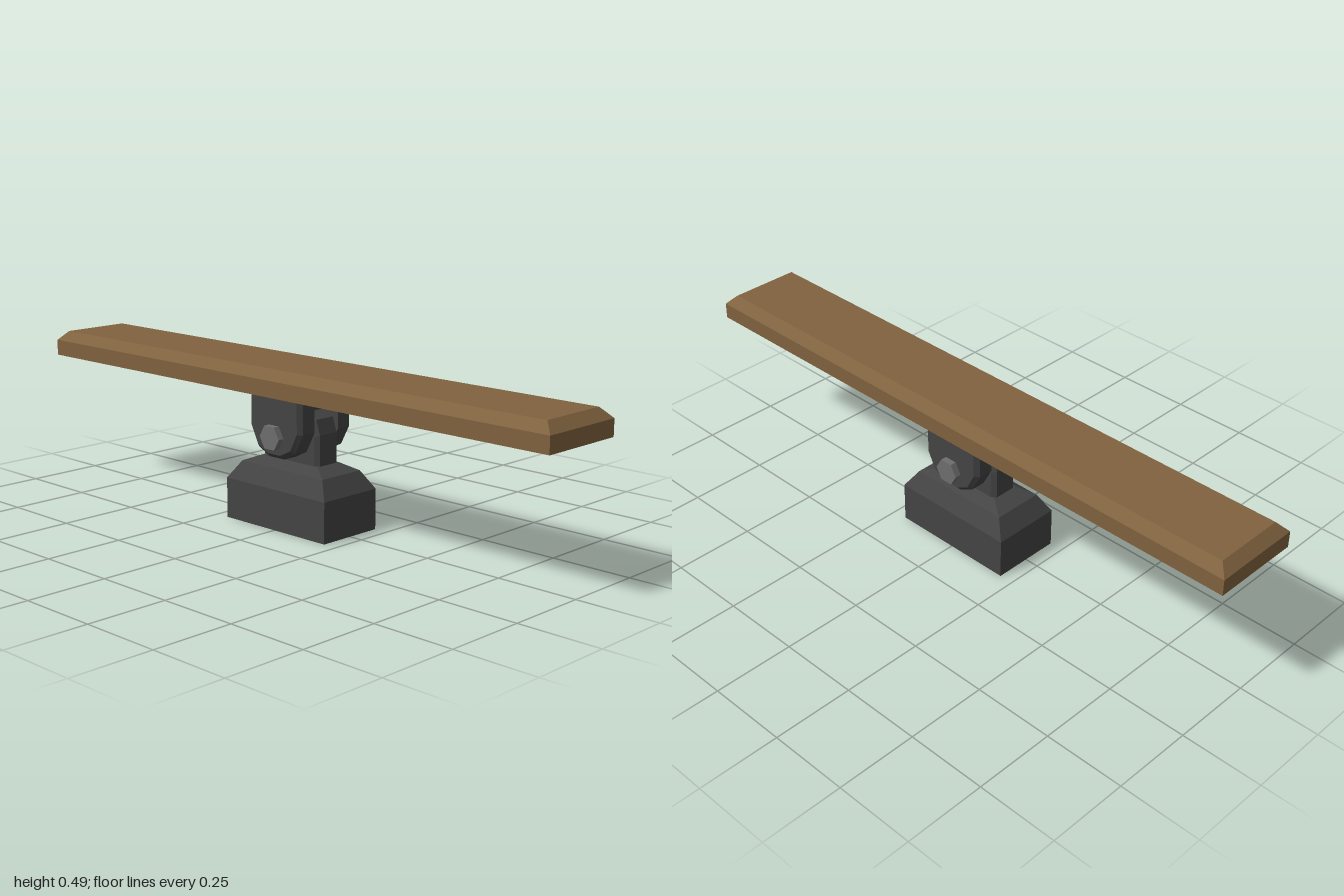
import * as THREE from 'three';

const wood = new THREE.MeshStandardMaterial({ color: 0x80623e, flatShading: true });
const iron = new THREE.MeshStandardMaterial({ color: 0x444444, flatShading: true });
const steel = new THREE.MeshStandardMaterial({ color: 0x6e6e6e, flatShading: true });

// Closed solid through convex rings, each counter-clockwise as seen from the last one
function loft(rings) {
  const n = rings[0].length, pos = [];
  const tri = (...pts) => pts.forEach((p) => pos.push(...p));
  for (let i = 0; i < rings.length - 1; i++) {
    const a = rings[i], b = rings[i + 1];
    for (let j = 0; j < n; j++) {
      const k = (j + 1) % n;
      tri(a[j], a[k], b[k]);
      tri(a[j], b[k], b[j]);
    }
  }
  const first = rings[0], last = rings[rings.length - 1];
  for (let j = 1; j < n - 1; j++) {
    tri(first[0], first[j + 1], first[j]);
    tri(last[0], last[j], last[j + 1]);
  }
  const geo = new THREE.BufferGeometry();
  geo.setAttribute('position', new THREE.Float32BufferAttribute(pos, 3));
  geo.computeVertexNormals();
  return geo;
}

// Horizontal rectangle at height y
const rect = (x, z, y) => [[x, y, z], [x, y, -z], [-x, y, -z], [-x, y, z]];

// Upright plate section at x, mirrored from half a [z, y] outline given bottom to top
const plate = (half, x) => [
  ...half.map(([z, y]) => [x, y, -z]),
  ...half.slice().reverse().map(([z, y]) => [x, y, z]),
];

export function createModel() {
  const group = new THREE.Group();
  const add = (name, geo, mat) => {
    const mesh = new THREE.Mesh(geo, mat);
    mesh.name = name;
    group.add(mesh);
    return mesh;
  };

  // Plank with a bevelled top edge
  add('plank', loft([rect(0.14, 1, 0.408), rect(0.14, 1, 0.458), rect(0.112, 0.97, 0.488)]), wood);

  // Stepped pedestal
  add('base', loft([
    rect(0.11, 0.205, 0), rect(0.11, 0.205, 0.125),
    rect(0.08, 0.168, 0.18), rect(0.045, 0.115, 0.202),
  ]), iron);

  // Upright tongue with chamfered edges
  const tongue = [[0.115, 0.2], [0.115, 0.295], [0.1, 0.34], [0.07, 0.36]];
  const tongueInset = [[0.1, 0.2], [0.1, 0.288], [0.086, 0.322], [0.062, 0.336]];
  add('tongue', loft([
    plate(tongueInset, -0.045), plate(tongue, -0.035),
    plate(tongue, 0.035), plate(tongueInset, 0.045),
  ]), iron);

  // Fork: two rounded arms joined by a bridge under the plank
  const arm = [[0.03, 0.22], [0.075, 0.243], [0.107, 0.303], [0.107, 0.408]];
  const armInset = [[0.025, 0.232], [0.067, 0.253], [0.094, 0.306], [0.094, 0.408]];
  add('leftForkArm', loft([plate(arm, 0.05), plate(arm, 0.098), plate(armInset, 0.11)]), iron);
  add('rightForkArm', loft([plate(armInset, -0.11), plate(arm, -0.098), plate(arm, -0.05)]), iron);
  add('forkBridge', new THREE.BoxGeometry(0.1, 0.036, 0.214), iron).position.y = 0.39;

  // Hexagonal pivot pin, corners pointing to front and back
  const pin = new THREE.CylinderGeometry(0.04, 0.04, 0.26, 6);
  pin.rotateZ(Math.PI / 2);
  add('pivotPin', pin, steel).position.y = 0.285;

  return group;
}
